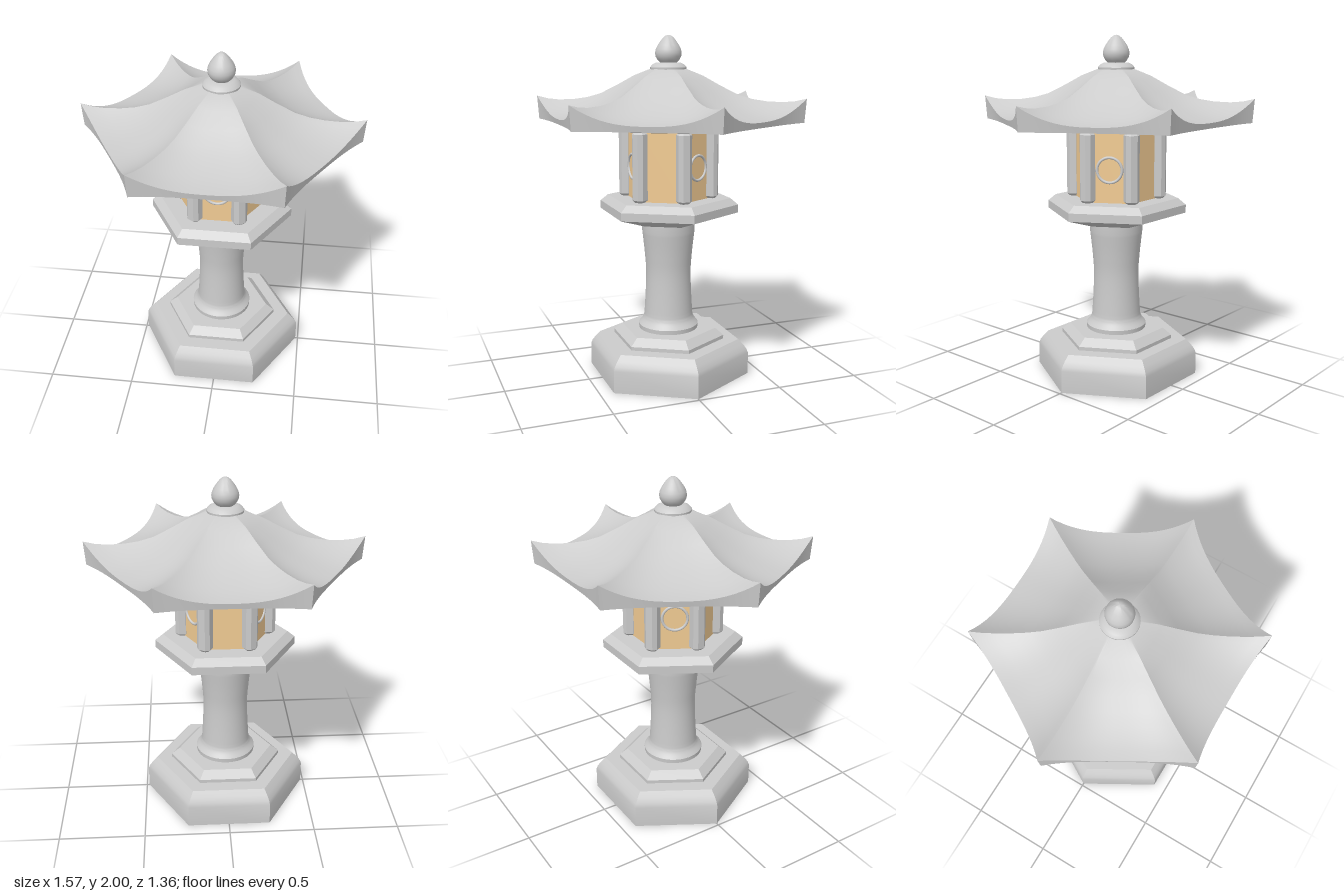
import * as THREE from 'three';
import { toCreasedNormals } from 'three/addons/utils/BufferGeometryUtils.js';

const stone = new THREE.MeshStandardMaterial({ color: 0xcccccc });
const amber = new THREE.MeshStandardMaterial({ color: 0xf2cc94 });

function addMesh(parent, name, geometry, material = stone) {
  const mesh = new THREE.Mesh(geometry, material);
  mesh.name = name;
  parent.add(mesh);
  return mesh;
}

// Turned solid from [radius, y] pairs; 6 sides gives a hexagon with corners on the x axis
function turned(points, sides = 6, crease = 0.5) {
  const profile = points.map(([r, y]) => new THREE.Vector2(r, y));
  return toCreasedNormals(new THREE.LatheGeometry(profile, sides, Math.PI / 2), crease);
}

// Six-sided roof: each row blends the middle of a side into the upswept corner ridges
function roofGeometry() {
  // [corner radius, corner y, mid-side distance, mid-side y]
  const rows = [
    [0, 1.515, 0, 1.515],
    [0.775, 1.515, 0.645, 1.515],
    [0.785, 1.65, 0.65, 1.545],
    [0.72, 1.635, 0.6, 1.55],
    [0.65, 1.629, 0.54, 1.562],
    [0.56, 1.633, 0.48, 1.58],
    [0.48, 1.645, 0.41, 1.607],
    [0.4, 1.668, 0.345, 1.642],
    [0.3, 1.718, 0.27, 1.692],
    [0.2, 1.773, 0.19, 1.755],
    [0.1, 1.812, 0.1, 1.81],
    [0, 1.815, 0, 1.815],
  ];
  const n = rows.length, steps = 20;
  const geo = new THREE.LatheGeometry(rows.map(([r, y]) => new THREE.Vector2(r, y)), 6 * steps);
  const pos = geo.attributes.position;
  for (let i = 0; i < pos.count; i++) {
    const column = Math.floor(i / n);
    const [cr, cy, mr, my] = rows[i % n];
    const s = 2 * (column % steps) / steps - 1;
    const angle = Math.PI / 2 + (Math.floor(column / steps) + 0.5) * Math.PI / 3;
    const out = mr + (cr * Math.sqrt(0.75) - mr) * Math.abs(s) ** 3;
    const along = s * cr / 2;
    pos.setXYZ(i,
      out * Math.sin(angle) + along * Math.cos(angle),
      my + (cy - my) * Math.abs(s) ** 2.6,
      out * Math.cos(angle) - along * Math.sin(angle));
  }
  return toCreasedNormals(geo, 0.5);
}

// Upright post with chamfered edges and ends
function postGeometry(bottom, top) {
  const bevel = 0.014, h = 0.04 - bevel, c = 0.012;
  const shape = new THREE.Shape([
    [h, -h + c], [h, h - c], [h - c, h], [-h + c, h],
    [-h, h - c], [-h, -h + c], [-h + c, -h], [h - c, -h],
  ].map(([x, y]) => new THREE.Vector2(x, y)));
  const geo = new THREE.ExtrudeGeometry(shape, {
    depth: top - bottom - 2 * bevel, bevelEnabled: true,
    bevelSize: bevel, bevelThickness: bevel, bevelSegments: 1,
  });
  return geo.rotateX(-Math.PI / 2).translate(0, bottom + bevel, 0);
}

export function createModel() {
  const model = new THREE.Group();
  model.name = 'stoneLantern';

  // Stepped hexagonal foot
  addMesh(model, 'base', turned([
    [0, 0], [0.485, 0], [0.485, 0.13], [0.476, 0.153], [0.456, 0.18], [0.425, 0.212], [0, 0.212],
  ]));
  addMesh(model, 'baseStep', turned([
    [0, 0.2], [0.335, 0.2], [0.335, 0.233], [0.285, 0.275], [0, 0.275],
  ]));

  // Waisted round pillar
  const waist = new THREE.SplineCurve([
    [0.178, 0.3], [0.15, 0.34], [0.142, 0.4], [0.133, 0.6], [0.14, 0.73], [0.155, 0.87],
  ].map(([r, y]) => new THREE.Vector2(r, y))).getPoints(30).map((p) => [p.x, p.y]);
  addMesh(model, 'pillar', turned([[0.176, 0.27], ...waist, [0.155, 0.93]], 48));

  // Platform under the light chamber
  addMesh(model, 'platform', turned([
    [0, 0.925], [0.21, 0.925], [0.41, 0.988], [0.41, 1.035], [0.365, 1.072], [0, 1.072],
  ]));

  // Light chamber: glowing walls, corner posts, round windows on alternate sides
  const chamber = new THREE.Group();
  chamber.name = 'lightChamber';
  model.add(chamber);
  addMesh(chamber, 'panels', turned([[0.25, 1.065], [0.25, 1.48]]), amber);
  const post = postGeometry(1.072, 1.472);
  for (let i = 0; i < 6; i++) {
    const a = i * Math.PI / 3;
    const mesh = addMesh(chamber, 'cornerPost', post);
    mesh.position.set(0.25 * Math.cos(a), 0, 0.25 * Math.sin(a));
    mesh.rotation.y = -a;
  }
  const ring = new THREE.TorusGeometry(0.071, 0.008, 10, 40).translate(0, 1.26, 0.218);
  for (let i = 0; i < 3; i++) {
    addMesh(chamber, 'windowRing', ring).rotation.y = i * 2 * Math.PI / 3;
  }

  // Plate between chamber and roof
  addMesh(model, 'topPlate', turned([
    [0, 1.472], [0.325, 1.472], [0.36, 1.49], [0.36, 1.506], [0.345, 1.52], [0, 1.52],
  ]));

  addMesh(model, 'roof', roofGeometry());

  // Collar and bud-shaped finial
  addMesh(model, 'collar', turned([
    [0.09, 1.795], [0.103, 1.807], [0.104, 1.82], [0.09, 1.836], [0.07, 1.845], [0, 1.847],
  ], 40, 0.7));
  addMesh(model, 'finial', turned([
    [0, 1.84], [0.045, 1.843], [0.062, 1.86], [0.073, 1.88], [0.076, 1.9], [0.072, 1.92],
    [0.061, 1.943], [0.045, 1.966], [0.03, 1.985], [0.016, 1.996], [0, 2],
  ], 40, 0.9));

  return model;
}
